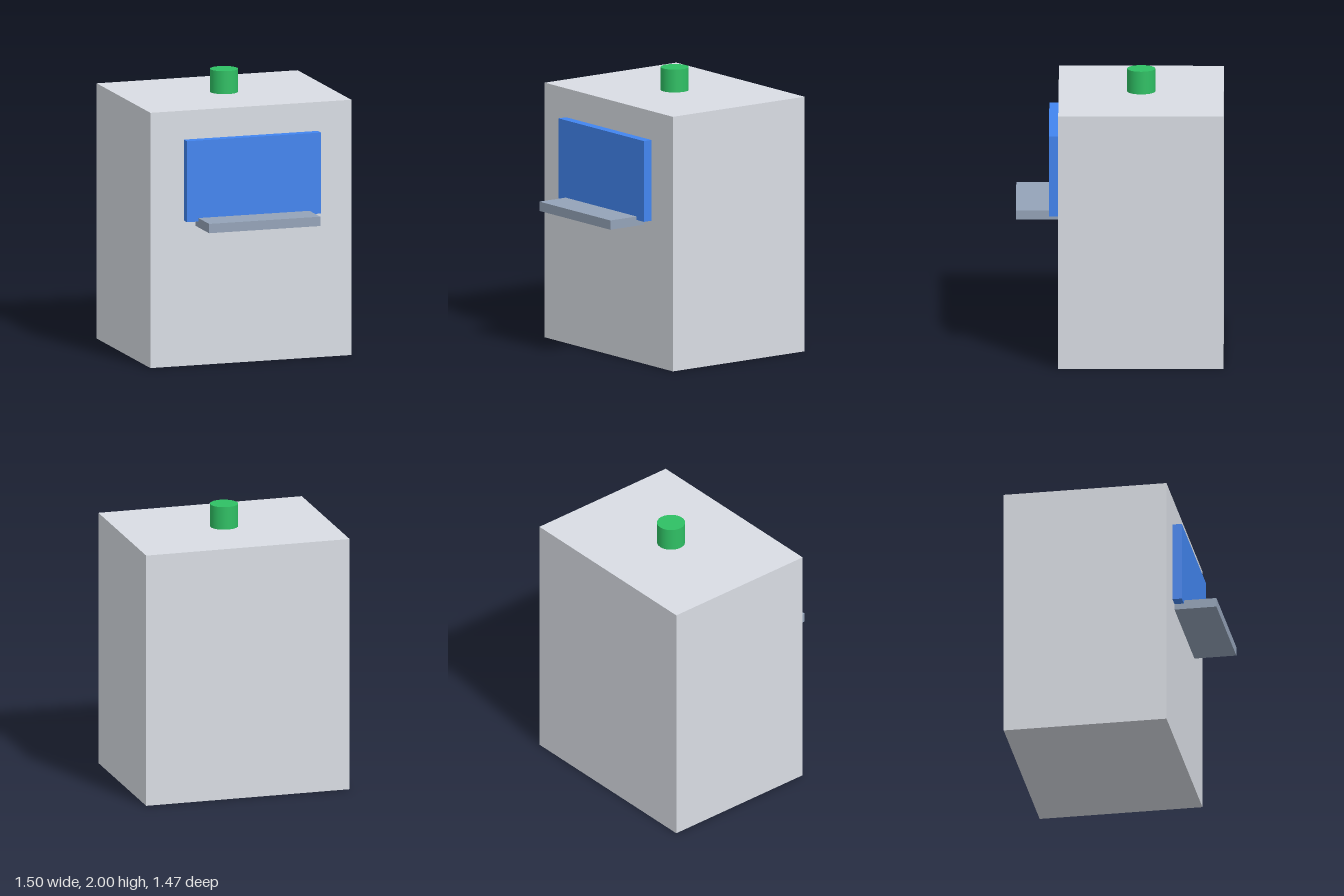
import * as THREE from 'three';

// Adds a named box given its extents on each axis
function addBox(group, name, color, [x0, x1], [y0, y1], [z0, z1]) {
  const mesh = new THREE.Mesh(
    new THREE.BoxGeometry(x1 - x0, y1 - y0, z1 - z0),
    new THREE.MeshStandardMaterial({ color })
  );
  mesh.name = name;
  mesh.position.set((x0 + x1) / 2, (y0 + y1) / 2, (z0 + z1) / 2);
  group.add(mesh);
}

export function createModel() {
  const group = new THREE.Group();
  group.name = 'kiosk';

  // Cabinet with a raised screen and a shelf below it
  addBox(group, 'cabinet', 0xd9dde4, [-0.75, 0.75], [0, 1.835], [-0.733, 0.433]);
  addBox(group, 'screen', 0x4285f0, [-0.5, 0.5], [1.045, 1.627], [0.433, 0.5]);
  addBox(group, 'shelf', 0x94a3b8, [-0.415, 0.415], [1.003, 1.07], [0.433, 0.733]);

  // Button on the roof
  const button = new THREE.Mesh(
    new THREE.CylinderGeometry(0.1, 0.1, 0.165, 24),
    new THREE.MeshStandardMaterial({ color: 0x2fc064 })
  );
  button.name = 'roofButton';
  button.position.set(0, 1.9175, -0.15);
  group.add(button);

  return group;
}
